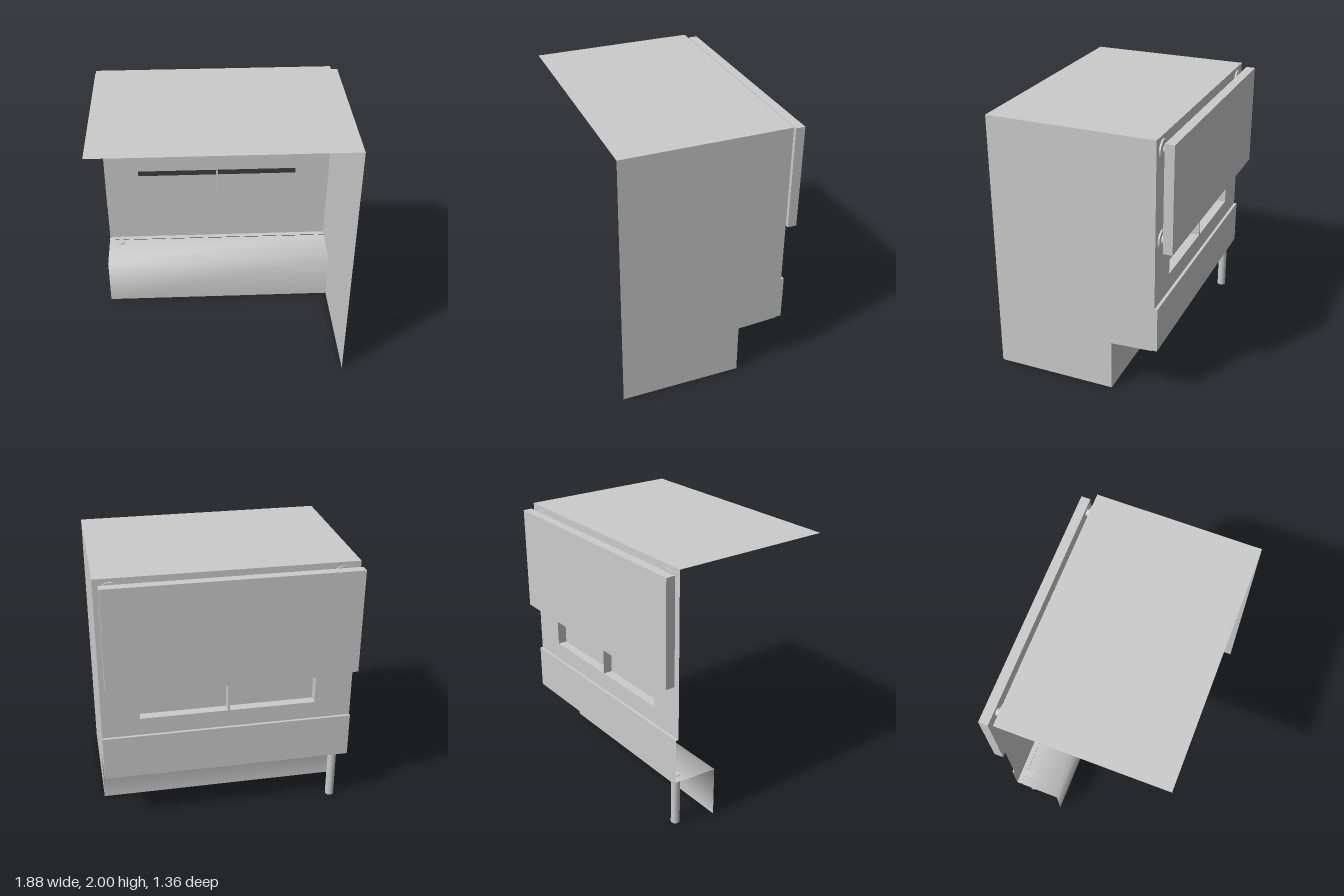
import * as THREE from 'three';

const HALF = 0.937;              // half width of the shell
const FRONT = 0.68, BACK = -0.57, STEP = -0.592, KICK = -0.24;

const sheet = new THREE.MeshStandardMaterial({ color: 0xcccccc, side: THREE.DoubleSide });
const solid = new THREE.MeshStandardMaterial({ color: 0xcccccc });

function add(parent, name, geometry, material = sheet, x = 0, y = 0, z = 0) {
  const mesh = new THREE.Mesh(geometry, material);
  mesh.name = name;
  mesh.position.set(x, y, z);
  parent.add(mesh);
  return mesh;
}

// Sheet swept across x from a [z, y] profile; shared vertices give smooth bends
function sweep(profile, x0 = -HALF, x1 = HALF) {
  const pos = [], index = [];
  profile.forEach(([z, y], i) => {
    pos.push(x0, y, z, x1, y, z);
    if (i) {
      const a = 2 * i - 2;
      index.push(a, a + 1, a + 3, a, a + 3, a + 2);
    }
  });
  const g = new THREE.BufferGeometry();
  g.setAttribute('position', new THREE.Float32BufferAttribute(pos, 3));
  g.setIndex(index);
  g.computeVertexNormals();
  return g;
}

const polygon = (pts) => pts.map(([x, y]) => new THREE.Vector2(x, y));

export function createModel() {
  const model = new THREE.Group();
  model.name = 'vanBody';

  // Roof
  add(model, 'roof', sweep([[FRONT, 2], [BACK, 2]]));

  // Side wall, outlined in (-z, y) and turned to face +x
  const side = new THREE.Shape(polygon([
    [-FRONT, 0], [-KICK, 0], [-KICK, 0.39], [0.55, 0.406], [0.55, 0.412], [-STEP, 0.412],
    [-STEP, 0.755], [-BACK, 0.755], [-BACK, 2], [-FRONT, 2],
  ]));
  add(model, 'sideWall', new THREE.ShapeGeometry(side), sheet, HALF).rotation.y = Math.PI / 2;

  // Upper rear wall with two window openings
  const y0 = 0.89, y1 = 1.097, paneZ = -0.5;
  const windows = [[-0.657, -0.01], [0.005, 0.657]];
  const rear = new THREE.Shape(polygon([[-HALF, 0.755], [HALF, 0.755], [HALF, 2], [-HALF, 2]]));
  for (const [a, b] of windows) {
    rear.holes.push(new THREE.Path(polygon([[a, y0], [a, y1], [b, y1], [b, y0]])));
  }
  add(model, 'upperRearWall', new THREE.ShapeGeometry(rear), sheet, 0, 0, BACK);

  // Recessed windows: pane, sill, jambs; the head only closes the left one, from below
  windows.forEach(([a, b], i) => {
    const frame = new THREE.Group();
    frame.name = i ? 'leftWindow' : 'rightWindow';
    add(frame, 'pane', sweep([[paneZ, y0], [paneZ, y1]], a, b));
    add(frame, 'sill', sweep([[paneZ, y0], [BACK, y0]], a, b));
    for (const x of [a, b]) {
      const jamb = new THREE.PlaneGeometry(paneZ - BACK, y1 - y0);
      add(frame, 'jamb', jamb, sheet, x, (y0 + y1) / 2, (paneZ + BACK) / 2).rotation.y = Math.PI / 2;
    }
    if (i) add(frame, 'head', sweep([[BACK, y1], [paneZ, y1]], a, b), solid);
    model.add(frame);
  });

  // Lower rear wall, stepped outwards, with its ledges
  add(model, 'rearLedge', sweep([[STEP, 0.755], [BACK, 0.755]]));
  add(model, 'lowerRearWall', sweep([[STEP, 0.412], [STEP, 0.755]]));
  add(model, 'lowerRearLip', sweep([[-0.55, 0.412], [STEP, 0.412]]));

  // Kick panel running smoothly into the sloped shelf
  add(model, 'kickPanelAndShelf', sweep([[KICK, 0], [KICK, 0.39], [-0.55, 0.408]]));

  // Support post
  add(model, 'supportPost', new THREE.CylinderGeometry(0.033, 0.033, 0.412, 24), solid, -0.84, 0.206, -0.52);

  // Hanging rear panel
  add(model, 'rearPanel', new THREE.BoxGeometry(1.84, 0.79, 0.07), solid, -0.02, 1.575, -0.645);

  // Four mounts, each a flange and a stem
  for (const x of [-0.81, 0.825]) {
    for (const [y, r] of [[1.905, 0.028], [1.25, 0.036]]) {
      const mount = new THREE.Group();
      mount.name = 'panelMount';
      mount.position.set(x, y, BACK);
      mount.rotation.x = -Math.PI / 2;
      add(mount, 'flange', new THREE.CylinderGeometry(0.07, 0.07, 0.012, 32), solid, 0, 0.006);
      add(mount, 'stem', new THREE.CylinderGeometry(r, r, 0.042, 24), solid, 0, 0.021);
      model.add(mount);
    }
  }
  return model;
}
